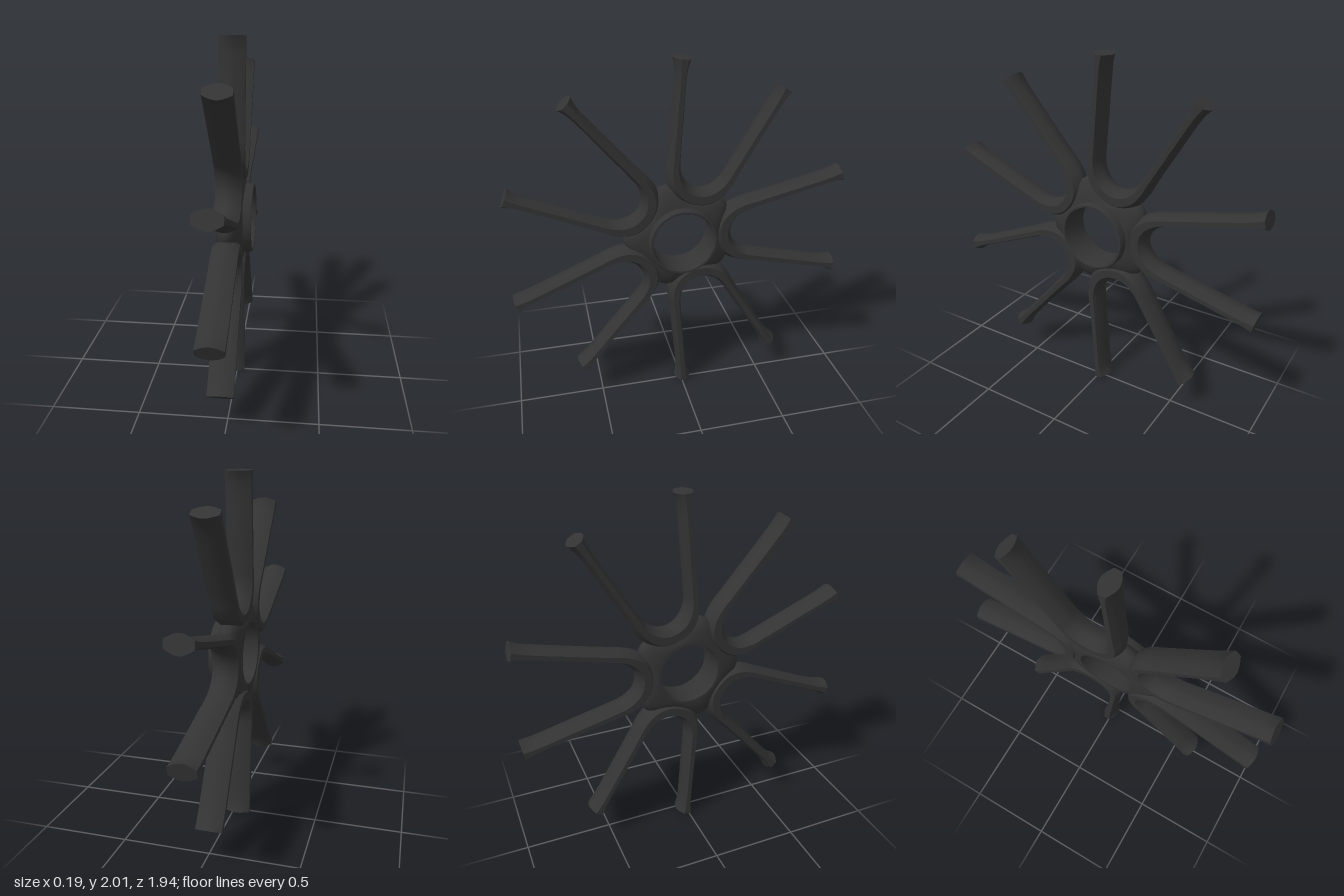
import * as THREE from 'three';
import { toCreasedNormals } from 'three/addons/utils/BufferGeometryUtils.js';

const X_BACK = -0.1, X_FRONT = 0.045;

// One half of a spoke pair: [distance along pair axis, sideways offset, half thickness]
const HALF_PATH = [
  [0.957, 0.297, 0.05], [0.93, 0.291, 0.041], [0.88, 0.279, 0.032], [0.65, 0.224, 0.032],
  [0.45, 0.177, 0.034], [0.37, 0.157, 0.039], [0.305, 0.122, 0.05], [0.262, 0.07, 0.056],
];

// U-shaped band: two spokes joined by a curved root, with a lens-like section
function spokePairGeometry() {
  const mirrored = HALF_PATH.map(([u, v, h]) => [u, -v, h]).reverse();
  const pts = [...HALF_PATH, [0.247, 0, 0.055], ...mirrored];
  // the x coordinate of the curve carries the half thickness
  const curve = new THREE.CatmullRomCurve3(pts.map(([u, v, h]) => new THREE.Vector3(h, v, -u)), false, 'centripetal');
  const steps = 80, arc = 8;
  const section = [];
  for (const side of [-1, 1]) {
    for (let k = 0; k <= arc; k++) {
      const t = side < 0 ? k / arc : 1 - k / arc;
      section.push([X_BACK + (X_FRONT - X_BACK) * t, side * (0.42 + 0.58 * Math.sin(Math.PI * t))]);
    }
  }
  const n = section.length, pos = [], idx = [];
  const xAxis = new THREE.Vector3(1, 0, 0);
  for (let i = 0; i <= steps; i++) {
    const p = curve.getPoint(i / steps);
    const tan = curve.getTangent(i / steps).setX(0).normalize();
    const nor = tan.clone().cross(xAxis);
    for (const [x, s] of section) pos.push(x, p.y + nor.y * s * p.x, p.z + nor.z * s * p.x);
  }
  for (let i = 0; i < steps; i++) {
    for (let j = 0; j < n; j++) {
      const a = i * n + j, b = i * n + (j + 1) % n;
      idx.push(a, b, b + n, a, b + n, a + n);
    }
  }
  const last = steps * n;
  for (let j = 1; j < n - 1; j++) {
    idx.push(0, j + 1, j);
    idx.push(last, last + j, last + j + 1);
  }
  const geo = new THREE.BufferGeometry();
  geo.setAttribute('position', new THREE.Float32BufferAttribute(pos, 3));
  geo.setIndex(idx);
  return toCreasedNormals(geo, 0.7);
}

// Web between the pairs: a soft five-lobed plate, tapering in thickness outwards
function hubWebGeometry() {
  const profile = [
    [0, -0.098], [0.25, -0.098], [0.55, -0.085], [0.85, -0.07], [1, -0.045],
    [1, -0.015], [0.85, 0.012], [0.55, 0.03], [0.25, 0.044], [0, 0.05],
  ].map(([t, x]) => new THREE.Vector2(1 + t, x));
  const geo = new THREE.LatheGeometry(profile, 100);
  geo.rotateZ(-Math.PI / 2);
  const p = geo.attributes.position;
  for (let i = 0; i < p.count; i++) {
    const y = p.getY(i), z = p.getZ(i);
    const t = Math.hypot(y, z) - 1, ang = Math.atan2(y, -z);
    const outer = 0.288 - 0.036 * Math.cos(5 * ang);
    const r = 0.182 + (outer - 0.182) * t;
    p.setXYZ(i, p.getX(i), r * Math.sin(ang), -r * Math.cos(ang));
  }
  geo.computeVertexNormals();
  return toCreasedNormals(geo, 0.9);
}

// Bearing sleeve through the hub, standing proud on one side
function sleeveGeometry() {
  const profile = [
    [0.176, -0.098], [0.19, -0.098], [0.195, -0.09], [0.197, 0.085],
    [0.191, 0.094], [0.18, 0.094], [0.176, 0.088], [0.176, -0.098],
  ].map(([r, x]) => new THREE.Vector2(r, x));
  const geo = new THREE.LatheGeometry(profile, 72);
  geo.rotateZ(-Math.PI / 2);
  return toCreasedNormals(geo, 0.7);
}

export function createModel() {
  const darkMetal = new THREE.MeshStandardMaterial({ color: 0x333333 });
  darkMetal.name = 'darkMetal';

  const wheel = new THREE.Group();
  wheel.name = 'spokedWheelCentre';
  wheel.position.y = 1;
  const add = (geo, name) => {
    const mesh = new THREE.Mesh(geo, darkMetal);
    mesh.name = name;
    wheel.add(mesh);
    return mesh;
  };

  // Five spoke pairs around the axle
  const pair = spokePairGeometry();
  for (let i = 0; i < 5; i++) add(pair, `spokePair${i + 1}`).rotation.x = (i * 2 * Math.PI) / 5;

  add(hubWebGeometry(), 'hubWeb');
  add(sleeveGeometry(), 'hubSleeve');

  const model = new THREE.Group();
  model.name = 'wheelSpokes';
  model.add(wheel);
  return model;
}
